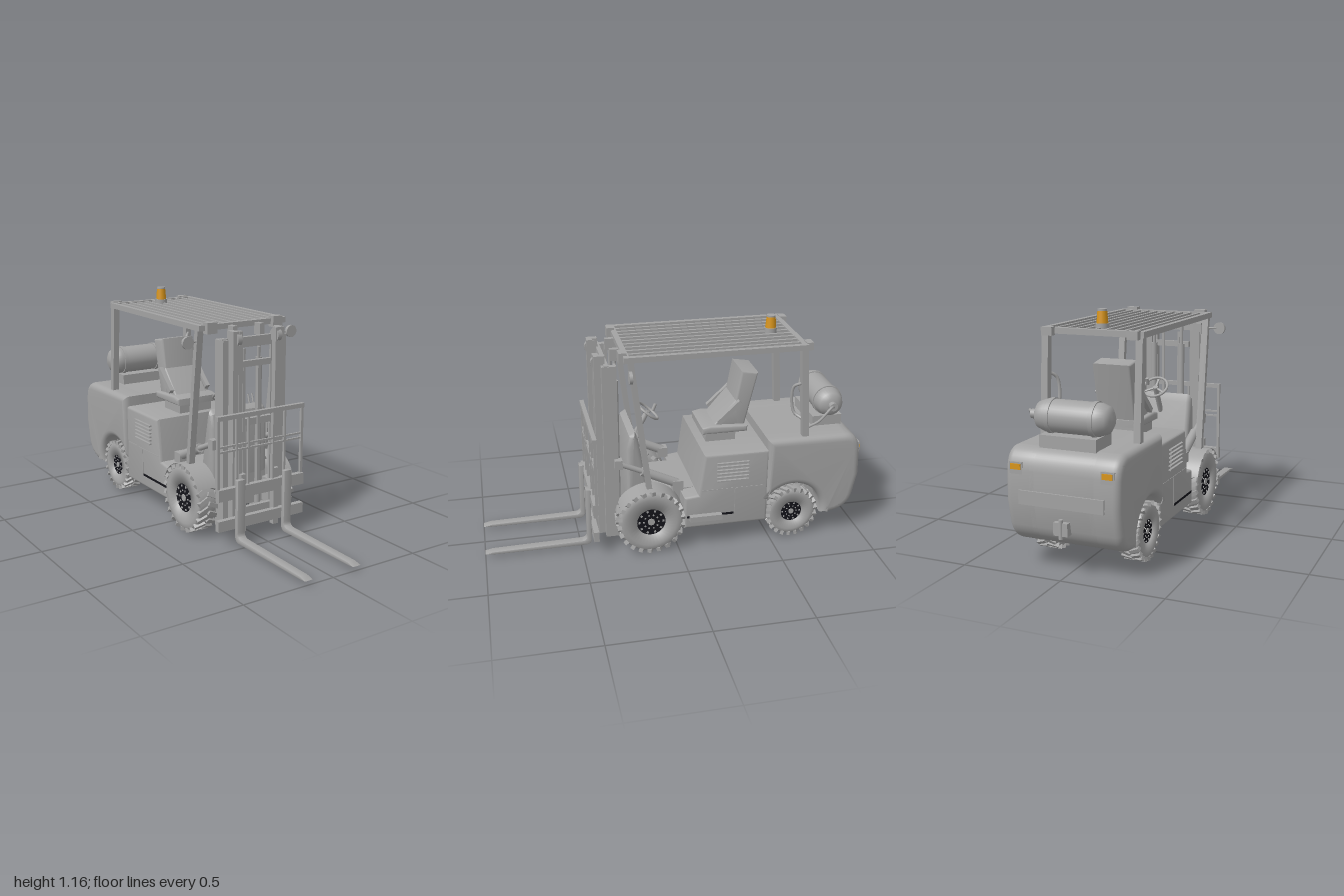
import * as THREE from 'three';
import { toCreasedNormals } from 'three/addons/utils/BufferGeometryUtils.js';

const mat = (name, color, side = THREE.FrontSide) => {
  const m = new THREE.MeshStandardMaterial({ color, side });
  m.name = name;
  return m;
};

export function createModel() {
  const model = new THREE.Group();
  model.name = 'forklift';
  const grey = mat('grey paint', 0xa3a3a3, THREE.DoubleSide);
  const dark = mat('black rim', 0x14141a);
  const amber = mat('amber lens', 0xd8951c);
  const V = (x, y, z) => new THREE.Vector3(x, y, z);

  const add = (name, geo, material = grey, parent = model) => {
    const m = new THREE.Mesh(geo, material);
    m.name = name;
    parent.add(m);
    return m;
  };
  const box = (name, w, h, d, x, y, z, material = grey, parent = model) => {
    const m = add(name, new THREE.BoxGeometry(w, h, d), material, parent);
    m.position.set(x, y, z);
    return m;
  };
  // round rod between two points
  const rod = (name, a, b, r, sides = 12, material = grey, r2 = r) => {
    const m = add(name, new THREE.CylinderGeometry(r2, r, a.distanceTo(b), sides), material);
    m.position.copy(a).lerp(b, 0.5);
    m.quaternion.setFromUnitVectors(V(0, 1, 0), b.clone().sub(a).normalize());
    return m;
  };
  // square beam lying in the side plane, between two points
  const beam = (name, a, b, w, d) => {
    const m = box(name, w, a.distanceTo(b), d, 0, 0, 0);
    m.position.copy(a).lerp(b, 0.5);
    m.quaternion.setFromUnitVectors(V(0, 1, 0), b.clone().sub(a).normalize());
    return m;
  };
  const tube = (name, pts, r) =>
    add(name, new THREE.TubeGeometry(new THREE.CatmullRomCurve3(pts), 24, r, 8));
  // side profile in (z, y), extruded across x
  const slab = (name, shape, x0, x1, bevel = 0, segs = 3) => {
    const s = Array.isArray(shape) ? new THREE.Shape(shape.map(p => new THREE.Vector2(...p))) : shape;
    const depth = x1 - x0 - 2 * bevel;
    const g = new THREE.ExtrudeGeometry(s, {
      depth, bevelEnabled: bevel > 0, bevelSize: bevel, bevelThickness: bevel,
      bevelOffset: -bevel, bevelSegments: segs, curveSegments: 16 });
    g.translate(0, 0, -depth / 2).rotateY(-Math.PI / 2).translate((x0 + x1) / 2, 0, 0);
    return add(name, toCreasedNormals(g, 0.6));
  };

  // Wheels with chevron lugs, axle along x
  const wheel = (name, x, y, z, R, w, rim) => {
    const g = new THREE.Group();
    g.name = name;
    g.position.set(x, y, z);
    if (x < 0) g.rotation.y = Math.PI;
    model.add(g);
    const h = w / 2, r = R - 0.012;
    const pts = [[rim, -h * 0.8], [r * 0.8, -h * 0.95], [r * 0.94, -h * 0.92], [r, -h * 0.75],
      [r, h * 0.75], [r * 0.94, h * 0.92], [r * 0.8, h * 0.95], [rim, h * 0.8], [rim, -h * 0.8]];
    const tyre = new THREE.LatheGeometry(pts.map(p => new THREE.Vector2(...p)), 40);
    add('tyre', tyre.rotateZ(-Math.PI / 2), grey, g);
    add('rim', new THREE.CylinderGeometry(rim, rim, w * 0.72, 32).rotateZ(Math.PI / 2), dark, g);
    add('hub', new THREE.CylinderGeometry(rim * 0.25, rim * 0.3, w * 0.8, 12).rotateZ(-Math.PI / 2), grey, g);
    const n = 22;
    for (let i = 0; i < n; i++) for (const s of [1, -1]) {
      const lug = new THREE.Group();
      lug.rotation.x = (i + (s > 0 ? 0 : 0.5)) * Math.PI * 2 / n;
      g.add(lug);
      const b = box('lug', h * 1.05, 0.022, R * 0.12, s * h * 0.5, R - 0.011, 0, grey, lug);
      b.rotation.y = s * 0.45;
    }
    for (let i = 0; i < 10; i++) {
      const a = i * Math.PI / 5;
      for (const [k, size] of [[0.52, 0.1], [0.84, 0.14]]) {
        const b = box('bolt', 0.006, rim * size, rim * size, w * 0.36, Math.sin(a) * rim * k, Math.cos(a) * rim * k, grey, g);
        b.rotation.x = -a;
      }
    }
  };

  // Chassis, hood and footwell
  slab('chassis', [[0.24, 0.11], [0.24, 0.3], [-0.47, 0.3], [-0.47, 0.11]], -0.165, 0.165);
  slab('hood', [[-0.03, 0.11], [-0.03, 0.29], [-0.105, 0.3], [-0.135, 0.525], [-0.48, 0.525], [-0.48, 0.11]], -0.267, 0.267, 0.015);
  slab('cowl', [[0.25, 0.28], [0.25, 0.55], [0.235, 0.62], [0.205, 0.64], [0.19, 0.6], [0.13, 0.28]], -0.17, 0.17, 0.025);
  box('step', 0.03, 0.03, 0.17, 0.29, 0.18, -0.14);

  // Counterweight: solid core plus outer cheeks cut by the wheel arches
  const back = s => {
    s.lineTo(-0.82, 0.12);
    s.quadraticCurveTo(-0.93, 0.13, -0.955, 0.22);
    s.lineTo(-0.98, 0.34);
    s.lineTo(-0.975, 0.48);
    s.quadraticCurveTo(-0.965, 0.58, -0.88, 0.58);
    s.lineTo(-0.47, 0.58);
    return s;
  };
  const core = new THREE.Shape().moveTo(-0.47, 0.12);
  slab('counterweight core', back(core), -0.158, 0.158);
  for (const s of [1, -1]) {
    const cheek = new THREE.Shape().moveTo(-0.47, 0.224);
    cheek.absarc(-0.617, 0.148, 0.165, 0.475, Math.PI + 0.17, false);
    slab('counterweight cheek', back(cheek), s > 0 ? 0.1 : -0.283, s > 0 ? 0.283 : -0.1, 0.035, 5);
  }
  box('rear band', 0.42, 0.065, 0.015, 0, 0.36, -0.979);
  box('tow hitch', 0.07, 0.06, 0.05, 0, 0.235, -0.965);
  rod('tow pin', V(0, 0.19, -0.985), V(0, 0.28, -0.985), 0.01);

  for (const s of [1, -1]) {
    wheel('front wheel', s * 0.236, 0.18, 0.147, 0.178, 0.112, 0.075);
    wheel('rear wheel', s * 0.22, 0.145, -0.617, 0.142, 0.105, 0.057);

    // Front mudguard wrapped over the tyre
    const guard = new THREE.CylinderGeometry(0.181, 0.181, 0.115, 24, 1, true, -0.35, Math.PI * 0.72);
    guard.rotateZ(Math.PI / 2);
    const fender = add('mudguard', guard);
    fender.position.set(s * 0.235, 0.18, 0.147);
    fender.rotation.x = -0.85;

    // Side louvres, door seams and tail lamps
    for (let i = 0; i < 6; i++) box('louvre', 0.02, 0.008, 0.17, s * 0.27, 0.375 + i * 0.02, -0.285);
    box('panel seam', 0.004, 0.005, 0.34, s * 0.267, 0.325, -0.295);
    box('panel seam', 0.004, 0.14, 0.004, s * 0.267, 0.25, -0.3);
    box('sill slot', 0.004, 0.012, 0.25, s * 0.267, 0.178, -0.17, dark);
    box('lamp housing', 0.065, 0.055, 0.03, s * 0.225, 0.49, -0.962);
    box('tail lamp', 0.05, 0.026, 0.006, s * 0.225, 0.497, -0.979, amber);

    // Mast rails, lift cylinders and tilt cylinders
    box('outer mast rail', 0.03, 0.95, 0.07, s * 0.172, 0.54, 0.335);
    box('outer rail flange', 0.04, 0.95, 0.014, s * 0.16, 0.54, 0.302);
    box('inner mast rail', 0.032, 0.99, 0.055, s * 0.135, 0.565, 0.375);
    box('carriage rail', 0.022, 0.96, 0.03, s * 0.108, 0.58, 0.39);
    rod('lift cylinder', V(s * 0.08, 0.1, 0.29), V(s * 0.08, 0.9, 0.29), 0.016);
    rod('lift ram', V(s * 0.08, 0.9, 0.29), V(s * 0.08, 1.06, 0.29), 0.009);
    box('chain', 0.014, 0.72, 0.008, s * 0.045, 0.6, 0.34);
    rod('chain wheel', V(s * 0.105, 1.02, 0.38), V(s * 0.13, 1.02, 0.38), 0.035, 16);
    box('ram head', 0.026, 0.06, 0.05, s * 0.08, 1.04, 0.29);
    rod('tilt cylinder', V(s * 0.2, 0.44, 0.18), V(s * 0.2, 0.35, -0.01), 0.024);
    rod('tilt ram', V(s * 0.2, 0.49, 0.29), V(s * 0.2, 0.44, 0.18), 0.014);
    box('tilt bracket', 0.05, 0.055, 0.055, s * 0.2, 0.345, -0.005);
    box('mast bracket', 0.04, 0.05, 0.04, s * 0.195, 0.49, 0.3);
    box('mast foot', 0.05, 0.13, 0.08, s * 0.17, 0.18, 0.27);

    // Forks
    const fork = new THREE.Shape().moveTo(0.444, 0.34);
    fork.lineTo(0.444, 0.05);
    fork.quadraticCurveTo(0.444, 0.015, 0.48, 0.015);
    fork.lineTo(0.97, 0.017);
    fork.lineTo(1.0, 0.022);
    fork.lineTo(0.96, 0.032);
    fork.lineTo(0.5, 0.04);
    fork.quadraticCurveTo(0.468, 0.04, 0.468, 0.07);
    fork.lineTo(0.468, 0.34);
    slab('fork', fork, s * 0.142 - 0.023, s * 0.142 + 0.023, 0.004, 2);

    // Overhead guard posts, side rails, lamps and mirrors
    beam('front post', V(s * 0.238, 0.36, 0.15), V(s * 0.238, 1.06, 0.237), 0.034, 0.028);
    beam('rear post', V(s * 0.238, 0.57, -0.675), V(s * 0.238, 1.06, -0.642), 0.034, 0.036);
    box('guard side rail', 0.026, 0.028, 0.93, s * 0.246, 1.067, -0.195);
    box('front work lamp', 0.058, 0.055, 0.04, s * 0.195, 1.066, 0.27);
    box('rear work lamp', 0.055, 0.04, 0.035, s * 0.215, 1.066, -0.672);
    rod('mirror arm', V(s * 0.245, 1.0, 0.235), V(s * 0.3, 1.0, 0.245), 0.005, 8);
    rod('mirror', V(s * 0.31, 1.0, 0.24), V(s * 0.31, 1.0, 0.256), 0.031, 24);
    box('armrest', 0.025, 0.025, 0.16, s * 0.115, 0.69, -0.3).rotation.x = 0.75;
  }

  // Mast crossbars
  for (const [y, h, w, z] of [[0.995, 0.05, 0.37, 0.345], [0.89, 0.03, 0.2, 0.36], [0.58, 0.035, 0.3, 0.31], [0.1, 0.07, 0.32, 0.32]])
    box('mast crossbar', w, h, 0.022, 0, y, z);

  // Fork carriage and load backrest
  box('upper carriage bar', 0.52, 0.06, 0.028, 0, 0.27, 0.43);
  box('lower carriage bar', 0.52, 0.055, 0.028, 0, 0.112, 0.43);
  for (const s of [1, -1]) box('carriage plate', 0.03, 0.3, 0.03, s * 0.1, 0.2, 0.41);
  box('backrest top bar', 0.52, 0.022, 0.022, 0, 0.655, 0.425);
  for (const y of [0.485, 0.51]) box('backrest bar', 0.5, 0.009, 0.01, 0, y, 0.425);
  for (const x of [0.253, 0.145, 0.075]) for (const s of [1, -1])
    box('backrest upright', x > 0.2 ? 0.014 : 0.01, 0.36, 0.014, s * x, 0.475, 0.425);

  // Overhead guard roof
  for (const z of [0.255, -0.645]) box('guard end rail', 0.5, 0.028, 0.028, 0, 1.067, z);
  for (const z of [-0.13, -0.37]) box('guard cross rail', 0.48, 0.016, 0.018, 0, 1.058, z);
  for (let i = -4; i <= 4; i++) box('guard bar', 0.015, 0.018, 0.9, i * 0.049, 1.07, -0.195);

  // Beacon
  rod('beacon base', V(0, 1.07, -0.54), V(0, 1.098, -0.54), 0.032, 20);
  rod('beacon lens', V(0, 1.098, -0.54), V(0, 1.155, -0.54), 0.028, 20, amber, 0.023);
  rod('beacon cap', V(0, 1.155, -0.54), V(0, 1.164, -0.54), 0.023, 20);

  // Seat
  box('seat pedestal', 0.2, 0.05, 0.16, 0, 0.55, -0.26);
  slab('seat cushion', [[-0.155, 0.575], [-0.155, 0.61], [-0.2, 0.62], [-0.4, 0.61], [-0.4, 0.575]], -0.125, 0.125, 0.012);
  slab('seat back', [[-0.31, 0.6], [-0.365, 0.905], [-0.455, 0.89], [-0.385, 0.59]], -0.1, 0.1, 0.012);
  slab('seat bolster', [[-0.22, 0.61], [-0.34, 0.75], [-0.36, 0.6]], -0.1, 0.1, 0.01);

  // Steering wheel, column and lever
  const steering = new THREE.Group();
  steering.name = 'steering wheel';
  steering.position.set(0, 0.685, 0.11);
  steering.rotation.x = -0.68;
  model.add(steering);
  add('steering rim', new THREE.TorusGeometry(0.066, 0.007, 8, 32).rotateX(Math.PI / 2), grey, steering);
  for (let i = 0; i < 3; i++) {
    const a = Math.PI / 2 + i * Math.PI * 2 / 3;
    const spoke = box('spoke', 0.064, 0.006, 0.01, Math.cos(a) * 0.032, -0.005, Math.sin(a) * 0.032, grey, steering);
    spoke.rotation.y = -a;
  }
  rod('steering column', V(0, 0.685, 0.11), V(0, 0.52, 0.2), 0.014);
  rod('steering knob', V(0.035, 0.7, 0.09), V(0.035, 0.735, 0.075), 0.009);
  for (const x of [0.1, 0.125, 0.15]) rod('control lever', V(x, 0.58, 0.2), V(x, 0.68, 0.17), 0.005, 8);

  // Gas bottle on its cradle
  box('bottle cradle', 0.28, 0.06, 0.16, 0, 0.605, -0.83);
  const profile = [[0, -0.19], [0.035, -0.187], [0.062, -0.17], [0.076, -0.13], [0.076, 0.13], [0.062, 0.17], [0.035, 0.187], [0, 0.19]];
  const bottle = add('gas bottle', new THREE.LatheGeometry(profile.map(p => new THREE.Vector2(...p)), 32).rotateZ(-Math.PI / 2));
  bottle.position.set(0, 0.71, -0.835);
  for (const x of [-0.11, 0.105]) rod('bottle strap', V(x - 0.01, 0.71, -0.835), V(x + 0.01, 0.71, -0.835), 0.081, 32);
  rod('bottle valve', V(0.18, 0.71, -0.835), V(0.215, 0.71, -0.835), 0.022);
  tube('gas hose', [V(0.21, 0.71, -0.835), V(0.24, 0.72, -0.81), V(0.235, 0.65, -0.75), V(0.2, 0.6, -0.7), V(0.19, 0.57, -0.69)], 0.007);

  // Grab handle on the rear post
  tube('grab handle', [V(0.235, 0.87, -0.64), V(0.205, 0.84, -0.61), V(0.2, 0.7, -0.62), V(0.235, 0.67, -0.66)], 0.008);
  return model;
}
